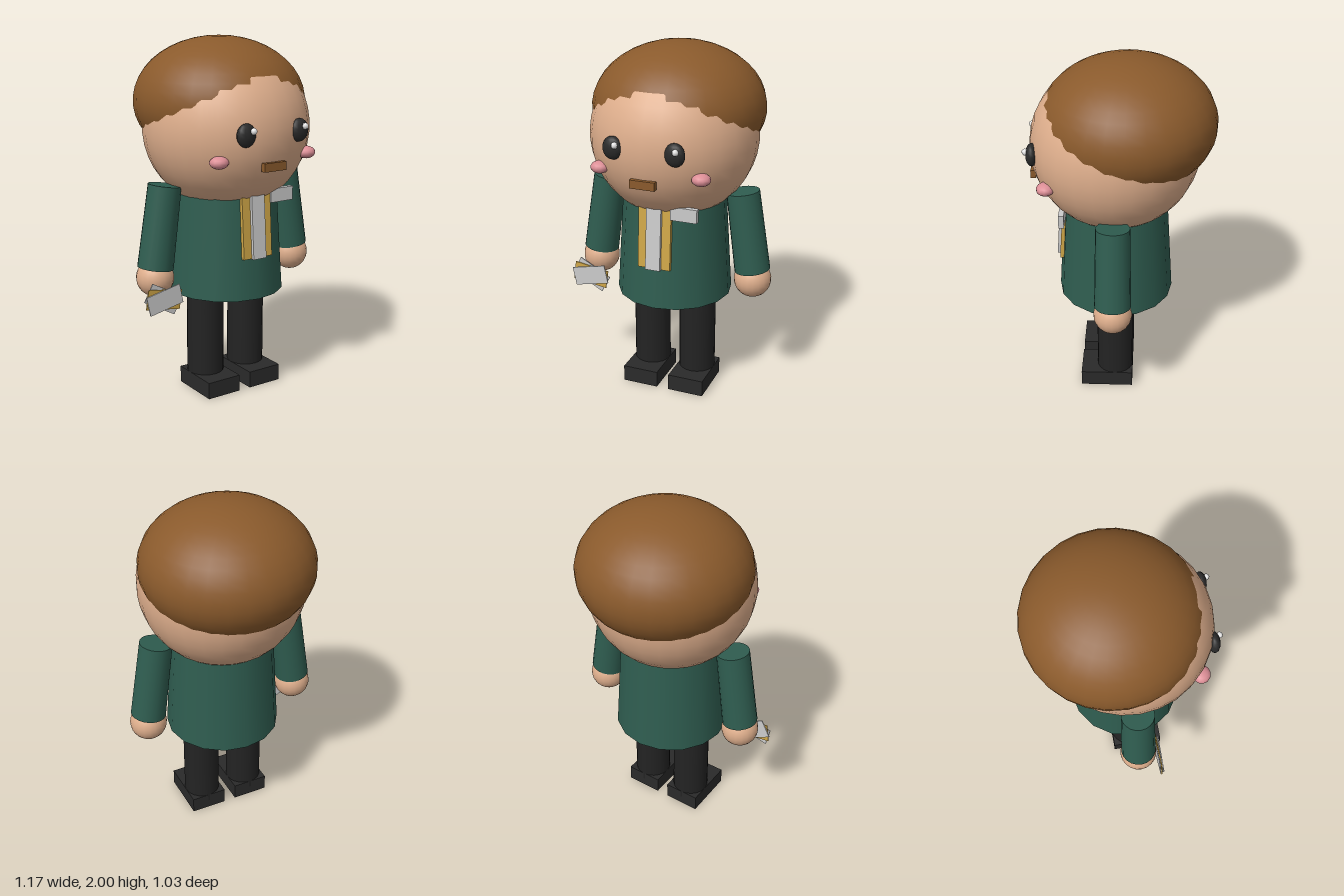
import * as THREE from 'three';

export function createModel() {
  const model = new THREE.Group();
  model.name = 'figure';
  // Everything is built around the body axis
  const root = new THREE.Group();
  root.name = 'character';
  root.position.set(0.012, 0, 0.033);
  model.add(root);

  const mat = (name, color) => {
    const m = new THREE.MeshStandardMaterial({ color });
    m.name = name;
    return m;
  };
  const skin = mat('skin', 0xdeae8c);
  const brown = mat('hairBrown', 0x8a5a2c);
  const green = mat('coatGreen', 0x2f5d50);
  const black = mat('trouserBlack', 0x232323);
  const dark = mat('shoeBlack', 0x2a2a2a);
  const gold = mat('gold', 0xd0a748);
  const grey = mat('paleGrey', 0xcccccc);
  const pink = mat('cheekPink', 0xdc8e96);
  const white = mat('highlightWhite', 0xffffff);

  const add = (name, geometry, material, x, y, z) => {
    const mesh = new THREE.Mesh(geometry, material);
    mesh.name = name;
    mesh.position.set(x, y, z);
    root.add(mesh);
    return mesh;
  };
  const box = (name, w, h, d, material, x, y, z) =>
    add(name, new THREE.BoxGeometry(w, h, d), material, x, y, z);
  const ball = (name, rx, ry, rz, seg, material, x, y, z) =>
    add(name, new THREE.SphereGeometry(1, seg, Math.round(seg * 0.75)).scale(rx, ry, rz), material, x, y, z);

  // Head and hair cap
  ball('head', 0.465, 0.465, 0.465, 28, skin, 0, 1.51, 0);
  ball('hair', 0.479, 0.355, 0.479, 28, brown, 0, 1.645, -0.068);

  // Coat
  add('coat', new THREE.CylinderGeometry(0.29, 0.327, 0.575, 16), green, 0, 0.8725, 0);

  // Parts that come in pairs
  for (const s of [-1, 1]) {
    const side = s > 0 ? 'left' : 'right';

    add(side + 'Leg', new THREE.CylinderGeometry(0.105, 0.105, 0.56, 20), black, s * 0.141, 0.33, 0);
    box(side + 'Shoe', 0.21, 0.095, 0.302, dark, s * 0.141, 0.0475, 0.047);

    const arm = add(side + 'Arm', new THREE.CylinderGeometry(0.092, 0.1, 0.46, 20), green, s * 0.432, 0.99, 0);
    arm.rotation.z = s * 0.145;
    ball(side + 'Hand', 0.105, 0.105, 0.105, 20, skin, s * 0.468, 0.708, 0);

    ball(side + 'Eye', 0.057, 0.063, 0.033, 12, dark, s * 0.172, 1.523, 0.435);
    ball(side + 'EyeHighlight', 0.018, 0.018, 0.018, 8, white, s * 0.167 + 0.02, 1.546, 0.467);
    ball(side + 'Cheek', 0.052, 0.034, 0.05, 12, pink, s * 0.286, 1.382, 0.357);
  }

  box('mouth', 0.14, 0.046, 0.03, brown, 0, 1.347, 0.447);

  // Front panel of the coat, leaning with its slope
  const backing = box('goldPanel', 0.188, 0.36, 0.03, gold, 0, 0.998, 0.288);
  const strip = box('greyStrip', 0.085, 0.375, 0.03, grey, 0, 1.003, 0.306);
  backing.rotation.x = strip.rotation.x = -0.07;
  box('pocketTrim', 0.15, 0.076, 0.03, grey, 0.168, 1.15, 0.287);

  // Fan of cards by the right hand
  const cards = [[grey, -0.5, 0.113], [gold, -0.15, 0.121], [grey, 0.21, 0.13]];
  cards.forEach(([material, turn, z], i) => {
    box('card' + (i + 1), 0.21, 0.11, 0.006, material, -0.484, 0.616, z).rotation.z = turn;
  });

  return model;
}
